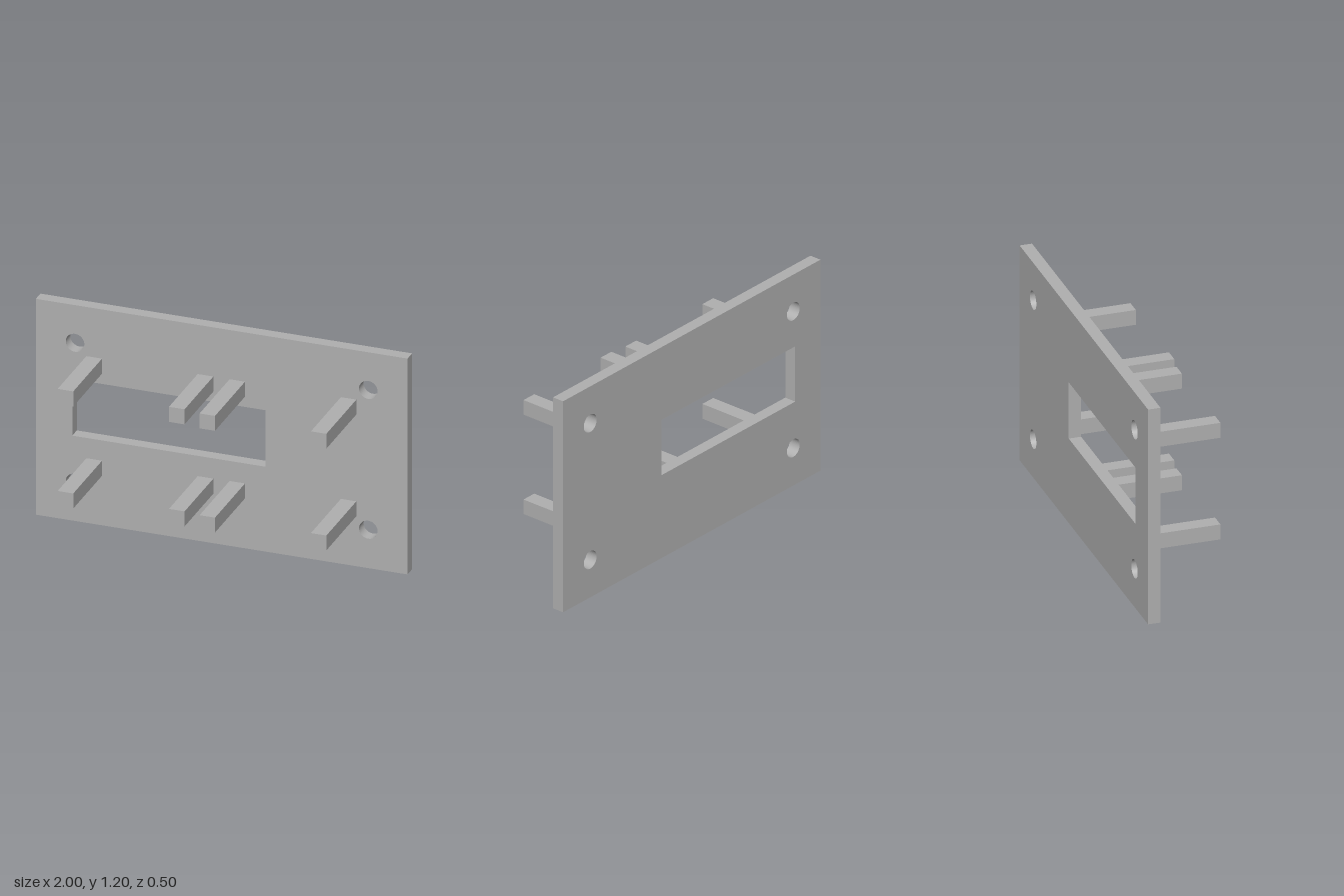
import * as THREE from 'three';

export function createModel() {
  const model = new THREE.Group();
  model.name = 'mountingPanel';
  const grey = new THREE.MeshStandardMaterial({ color: 0xb0b0b0 });
  grey.name = 'grey';

  const back = -0.248, face = -0.182, height = 1.203;

  // Flat panel with an off-centre window and four screw holes
  const outline = new THREE.Shape([
    new THREE.Vector2(-1, 0), new THREE.Vector2(1, 0),
    new THREE.Vector2(1, height), new THREE.Vector2(-1, height),
  ]);
  outline.holes.push(new THREE.Path([
    new THREE.Vector2(-0.804, 0.473), new THREE.Vector2(-0.804, 0.788),
    new THREE.Vector2(0.235, 0.788), new THREE.Vector2(0.235, 0.473),
  ]));
  for (const x of [-0.789, 0.789]) {
    for (const y of [0.214, 0.993]) {
      outline.holes.push(new THREE.Path().absarc(x, y, 0.05, 0, Math.PI * 2, true));
    }
  }
  const panelGeometry = new THREE.ExtrudeGeometry(outline, {
    depth: face - back, bevelEnabled: false, curveSegments: 32,
  });
  const panel = new THREE.Mesh(panelGeometry, grey);
  panel.name = 'panel';
  panel.position.z = back;
  model.add(panel);

  // Two sets of four square pegs; the set on the +x side is slightly longer
  const sets = [
    { name: 'rightPeg', xs: [-0.686, -0.087], ys: [0.318, 0.887], tip: 0.23, size: 0.084 },
    { name: 'leftPeg', xs: [0.084, 0.683], ys: [0.32, 0.887], tip: 0.248, size: 0.083 },
  ];
  for (const { name, xs, ys, tip, size } of sets) {
    const geometry = new THREE.BoxGeometry(size, size, tip - face);
    for (const x of xs) {
      for (const y of ys) {
        const peg = new THREE.Mesh(geometry, grey);
        peg.name = name;
        peg.position.set(x, y, (tip + face) / 2);
        model.add(peg);
      }
    }
  }
  return model;
}
